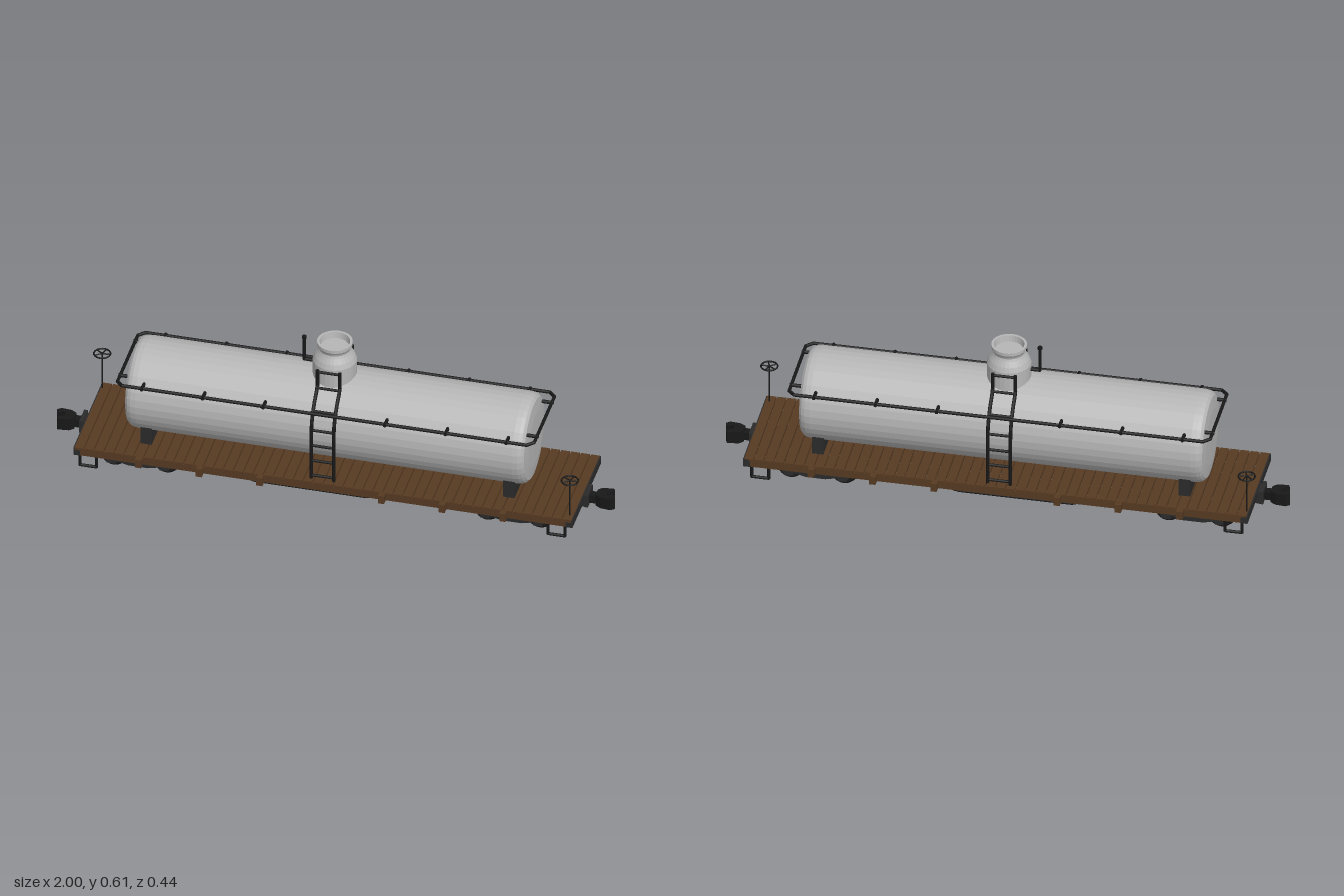
import * as THREE from 'three';

const mat = (name, color) => {
  const m = new THREE.MeshStandardMaterial({ color });
  m.name = name;
  return m;
};

export function createModel() {
  const silver = mat('tank grey', 0xb6b6b6);
  const wood = mat('deck brown', 0x563a22);
  const iron = mat('frame dark grey', 0x2b2b2b);
  const black = mat('fittings black', 0x181818);

  const model = new THREE.Group();
  model.name = 'tankCar';

  const add = (parent, name, geo, material, x = 0, y = 0, z = 0) => {
    const m = new THREE.Mesh(geo, material);
    m.name = name;
    m.position.set(x, y, z);
    parent.add(m);
    return m;
  };
  const box = (parent, name, material, w, h, d, x, y, z) =>
    add(parent, name, new THREE.BoxGeometry(w, h, d), material, x, y, z);
  const group = (name, parent = model) => {
    const g = new THREE.Group();
    g.name = name;
    parent.add(g);
    return g;
  };
  const V = (x, y, z) => new THREE.Vector3(x, y, z);
  // round bar that follows straight runs between points
  const bar = (parent, name, material, pts, r, closed = false) => {
    const path = new THREE.CurvePath();
    const n = closed ? pts.length : pts.length - 1;
    for (let i = 0; i < n; i++) path.add(new THREE.LineCurve3(pts[i], pts[(i + 1) % pts.length]));
    path.curves.forEach((c, i) => {
      const m = add(parent, name, new THREE.CylinderGeometry(r, r, c.getLength() + r * 0.6, 8), material);
      m.position.copy(c.getPoint(0.5));
      m.quaternion.setFromUnitVectors(V(0, 1, 0), c.getTangent(0));
    });
  };
  const faceted = (geo) => {
    const g = geo.toNonIndexed();
    g.computeVertexNormals();
    return g;
  };
  const lathe = (pts, seg) => new THREE.LatheGeometry(pts.map(p => new THREE.Vector2(p[0], p[1])), seg);

  // Tank with rounded heads
  const head = [[0.163, 0.672], [0.161, 0.69], [0.156, 0.702], [0.146, 0.711], [0.1, 0.716], [0, 0.718]];
  const shell = [...head.map(([r, h]) => [r, -h]).reverse(), ...head];
  const tank = add(model, 'tank', faceted(lathe(shell, 36)), silver, -0.004, 0.314, 0);
  tank.rotation.z = Math.PI / 2;

  // Dome with flared, recessed mouth
  add(model, 'dome', faceted(lathe([
    [0.077, 0.44], [0.077, 0.53], [0.07, 0.548], [0.059, 0.566], [0.055, 0.575], [0.057, 0.582],
    [0.062, 0.591], [0.062, 0.603], [0.053, 0.603], [0.049, 0.58], [0, 0.58]], 30)), silver, -0.004, 0, 0);

  // Relief pipe beside the dome
  bar(model, 'reliefPipe', black, [V(-0.07, 0.508, 0), V(-0.113, 0.508, 0), V(-0.113, 0.605, 0)], 0.006);
  add(model, 'reliefPipeCap', new THREE.CylinderGeometry(0.008, 0.008, 0.01, 10), black, -0.113, 0.6, 0);

  // Saddles
  for (const s of [-1, 1]) box(model, 'saddle', iron, 0.04, 0.074, 0.24, s * 0.647, 0.168, 0);

  // Handrail loop with brackets
  const rail = group('handrail');
  const L = 0.743, W = 0.164, c = 0.022;
  bar(rail, 'railBar', black, [
    V(-L + c, 0.4, W), V(L - c, 0.4, W), V(L, 0.4, W - c), V(L, 0.4, -W + c),
    V(L - c, 0.4, -W), V(-L + c, 0.4, -W), V(-L, 0.4, -W + c), V(-L, 0.4, W - c)], 0.006, true);
  for (const s of [-1, 1]) {
    for (const x of [-0.65, -0.433, -0.217, 0.217, 0.433, 0.65])
      bar(rail, 'railBracket', black, [V(x, 0.4, s * 0.13), V(x, 0.4, s * 0.171)], 0.0065);
    for (const z of [-0.105, 0.105])
      bar(rail, 'railBracket', black, [V(s * 0.705, 0.4, z), V(s * 0.747, 0.4, z)], 0.0065);
  }

  // Ladders, one each side
  const climb = [[0.136, 0.174], [0.31, 0.174], [0.36, 0.168], [0.395, 0.152], [0.425, 0.128],
    [0.452, 0.097], [0.468, 0.087], [0.53, 0.087]];
  const zAt = (y) => {
    const i = climb.findIndex((p, k) => k && y <= p[0]);
    const [a, b] = [climb[i - 1], climb[i]];
    return a[1] + (b[1] - a[1]) * (y - a[0]) / (b[0] - a[0]);
  };
  for (const s of [-1, 1]) {
    const ladder = group('ladder');
    for (const x of [-0.044, 0.036]) bar(ladder, 'ladderRail', black, climb.map(([y, z]) => V(x, y, s * z)), 0.0065);
    for (const y of [0.148, 0.21, 0.273, 0.335, 0.4, 0.46, 0.524])
      bar(ladder, 'rung', black, [V(-0.044, y, s * zAt(y)), V(0.036, y, s * zAt(y))], 0.005);
  }

  // Plank deck
  const deck = group('deck');
  const count = 50, pitch = 1.776 / count;
  for (let i = 0; i < count; i++)
    box(deck, 'plank', wood, pitch - 0.004, 0.012, 0.4, -0.884 + pitch * (i + 0.5), 0.13, 0);
  for (const s of [-1, 1]) {
    box(deck, 'sideSill', wood, 1.76, 0.024, 0.022, 0.004, 0.116, s * 0.187);
    box(deck, 'endBeam', iron, 0.024, 0.03, 0.4, 0.004 + s * 0.878, 0.119, 0);
    for (const x of [-0.65, -0.433, -0.217, 0.217, 0.433, 0.65])
      box(deck, 'stakePocket', wood, 0.022, 0.032, 0.024, x, 0.12, s * 0.21);
    // Underframe sills
    box(deck, 'centreSill', iron, 1.76, 0.034, 0.016, 0.004, 0.107, s * 0.035);
    box(deck, 'floorSill', wood, 1.74, 0.02, 0.018, 0.004, 0.114, s * 0.115);
    // Truss rods and their posts
    for (const z of [0.075, 0.145]) {
      bar(model, 'trussRod', black, [V(-0.36, 0.104, s * z), V(-0.256, 0.068, s * z),
        V(0.144, 0.068, s * z), V(0.3, 0.104, s * z)], 0.005);
    }
    box(model, 'crossBeam', iron, 0.024, 0.034, 0.32, s < 0 ? -0.25 : 0.14, 0.107, 0);
  }

  // Trucks
  const wheelGeo = lathe([[0, -0.011], [0.02, -0.011], [0.023, -0.007], [0.036, -0.007], [0.038, -0.01],
    [0.05, -0.01], [0.05, -0.005], [0.045, -0.003], [0.044, 0.01], [0.037, 0.01], [0.035, 0.006],
    [0.02, 0.006], [0.017, 0.011], [0, 0.011]], 24);
  const frame = new THREE.Shape([[-0.115, 0.04], [-0.075, 0.04], [-0.035, 0.03], [0.035, 0.03], [0.075, 0.04],
    [0.115, 0.04], [0.115, 0.065], [0.085, 0.068], [0.04, 0.092], [-0.04, 0.092], [-0.085, 0.068],
    [-0.115, 0.065]].map(p => new THREE.Vector2(...p)));
  for (const s of [-1, 1])
    frame.holes.push(new THREE.Path([[0.028, 0.043], [0.07, 0.052], [0.036, 0.078], [0.028, 0.078]]
      .map(p => new THREE.Vector2(s * p[0], p[1]))));
  const frameGeo = new THREE.ExtrudeGeometry(frame, { depth: 0.012, bevelEnabled: false });
  const bolster = new THREE.Shape([[-0.08, 0.104], [-0.045, 0.066], [-0.02, 0.06], [0.02, 0.06], [0.045, 0.066],
    [0.08, 0.104]].map(p => new THREE.Vector2(...p)));
  const bolsterGeo = new THREE.ExtrudeGeometry(bolster, { depth: 0.05, bevelEnabled: false });
  for (const x of [-0.677, 0.655]) {
    const truck = group('truck');
    truck.position.x = x;
    for (const e of [-1, 1]) {
      const axle = add(truck, 'axle', new THREE.CylinderGeometry(0.01, 0.01, 0.236, 10), iron, e * 0.094, 0.05, 0);
      axle.rotation.x = Math.PI / 2;
      for (const s of [-1, 1]) {
        const wheel = add(truck, 'wheel', wheelGeo, black, e * 0.094, 0.05, s * 0.079);
        wheel.rotation.x = s * Math.PI / 2;
        box(truck, 'journalBox', iron, 0.032, 0.032, 0.02, e * 0.094, 0.05, s * 0.111);
      }
    }
    for (const s of [-1, 1]) {
      add(truck, 'sideFrame', frameGeo, iron, 0, 0, s * 0.108 - 0.006);
      box(truck, 'springBlock', black, 0.05, 0.024, 0.022, 0, 0.08, s * 0.113);
    }
    box(truck, 'truckBolster', iron, 0.04, 0.02, 0.22, 0, 0.08, 0);
    const body = add(truck, 'bodyBolster', bolsterGeo, iron, -0.025, 0, 0);
    body.rotation.y = Math.PI / 2;
  }

  // Couplers, the second turned half round
  const jaw = new THREE.Shape([[0.93, -0.016], [0.945, -0.03], [0.985, -0.034], [0.99, -0.022], [0.966, -0.01],
    [0.966, 0.008], [0.978, 0.012], [0.982, 0.002], [0.996, 0.004], [1.0, 0.02], [0.985, 0.031],
    [0.95, 0.028], [0.93, 0.016]].map(p => new THREE.Vector2(...p)));
  const jawGeo = new THREE.ExtrudeGeometry(jaw, { depth: 0.046, bevelEnabled: false });
  for (const turn of [0, Math.PI]) {
    const coupler = group('coupler');
    coupler.rotation.y = turn;
    const headMesh = add(coupler, 'couplerHead', jawGeo, black, 0, 0.126, 0);
    headMesh.rotation.x = Math.PI / 2;
    box(coupler, 'couplerShank', black, 0.14, 0.03, 0.03, 0.88, 0.102, 0);
    box(coupler, 'draftBox', iron, 0.11, 0.046, 0.056, 0.85, 0.1, 0);
    box(coupler, 'strikerPlate', iron, 0.014, 0.05, 0.07, 0.9, 0.105, 0);
  }

  // Corner steps
  for (const sx of [-1, 1]) for (const sz of [-1, 1])
    bar(model, 'cornerStep', black, [V(sx * 0.865, 0.106, sz * 0.19), V(sx * 0.865, 0.059, sz * 0.19),
      V(sx * 0.805, 0.059, sz * 0.19), V(sx * 0.805, 0.106, sz * 0.19)], 0.0055);

  // Brake wheels on thin staffs at opposite corners
  for (const s of [-1, 1]) {
    const brake = group('brakeWheel');
    brake.position.set(s * 0.877, 0, s * 0.169);
    bar(brake, 'brakeStaff', black, [V(0, 0.09, 0), V(0, 0.284, 0)], 0.003);
    const rim = add(brake, 'brakeRim', new THREE.TorusGeometry(0.029, 0.003, 6, 24), black, 0, 0.281, 0);
    rim.rotation.x = Math.PI / 2;
    for (let i = 0; i < 5; i++) {
      const a = i * Math.PI * 0.4;
      bar(brake, 'brakeSpoke', black, [V(0, 0.281, 0), V(0.028 * Math.cos(a), 0.281, 0.028 * Math.sin(a))], 0.0025);
    }
  }

  return model;
}
